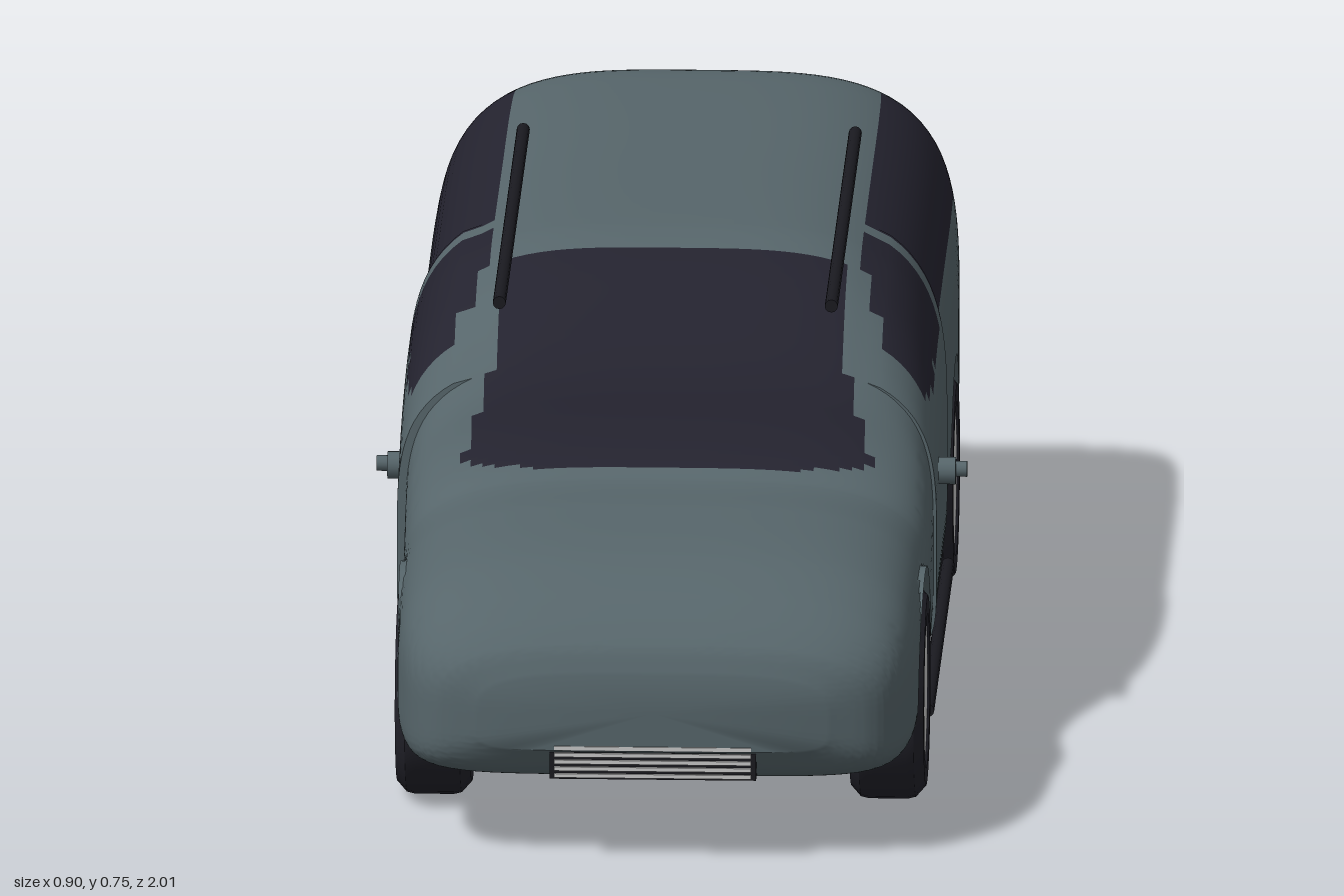
import * as THREE from 'three';
import { toCreasedNormals } from 'three/addons/utils/BufferGeometryUtils.js';

const mat = (name, color) => Object.assign(new THREE.MeshStandardMaterial({ color }), { name });
const paint = mat('bodyPaint', 0x56656a);
const glass = mat('darkGlass', 0x24232f);
const rubber = mat('rubber', 0x22222a);
const trim = mat('blackTrim', 0x1a1a20);
const silver = mat('silver', 0xc8c8c8);
const recess = mat('rimShadow', 0x55555a);

// Smooth interpolation through [z, value] pairs
function curve(pts) {
  const n = pts.length;
  const slope = (i) => {
    const a = pts[Math.max(i - 1, 0)], b = pts[Math.min(i + 1, n - 1)];
    return (b[1] - a[1]) / (b[0] - a[0]);
  };
  return (z) => {
    let i = 0;
    while (i < n - 2 && z > pts[i + 1][0]) i++;
    const [z0, v0] = pts[i], [z1, v1] = pts[i + 1];
    const h = z1 - z0, t = THREE.MathUtils.clamp((z - z0) / h, 0, 1), u = 1 - t;
    return v0 * (1 + 2 * t) * u * u + v1 * (1 + 2 * u) * t * t + h * t * u * (slope(i) * u - slope(i + 1) * t);
  };
}

// Roof line, underside and half width along the car
const top = curve([[-1, 0.32], [-0.99, 0.48], [-0.968, 0.614], [-0.93, 0.70], [-0.88, 0.726], [-0.77, 0.737], [-0.4, 0.739],
  [0, 0.737], [0.09, 0.725], [0.195, 0.695], [0.29, 0.635], [0.345, 0.58], [0.38, 0.523], [0.42, 0.476], [0.46, 0.455],
  [0.6, 0.453], [0.785, 0.437], [0.89, 0.405], [0.94, 0.375], [0.97, 0.35], [0.985, 0.333], [1, 0.3]]);
const under = curve([[-1, 0.2], [-0.99, 0.155], [-0.95, 0.125], [-0.85, 0.118], [0.85, 0.118], [0.93, 0.124], [0.97, 0.14], [1, 0.18]]);
const halfWidth = curve([[-1, 0.33], [-0.99, 0.353], [-0.96, 0.375], [-0.9, 0.391], [-0.8, 0.4], [-0.4, 0.402], [0.4, 0.402],
  [0.8, 0.396], [0.9, 0.382], [0.95, 0.36], [0.98, 0.325], [1, 0.265]]);

const AXLES = [0.59, -0.595], HUB_Y = 0.165, ARCH_R = 0.19;
const DOOR = [-0.11, 0.32];

// Rounded section, raised over the wheels and pushed out at the doors
function bodyPoint(z, angle) {
  const c = Math.cos(angle), s = Math.sin(angle);
  const n = s > 0 ? 3.6 : 6;
  const r = Math.pow(Math.abs(c) ** n + Math.abs(s) ** n, -1 / n);
  const hi = top(z), lo = under(z), mid = lo + 0.4 * (hi - lo);
  let x = halfWidth(z) * r * c;
  let y = mid + (s > 0 ? hi - mid : mid - lo) * r * s;
  for (const a of AXLES) {
    const d = Math.abs(z - a);
    if (d < ARCH_R) y = Math.max(y, HUB_Y + Math.sqrt(ARCH_R * ARCH_R - d * d));
  }
  if (z >= DOOR[0] && z <= DOOR[1] && y > 0.14 && Math.abs(x) > 0.31) x += x < 0 ? -0.013 : 0.005;
  return [x, y, z];
}

function isGlass(x, y, z) {
  const ax = Math.abs(x);
  const windscreen = z > 0.1 && z < 0.43 && y > 0.465 && ax < 0.272 + Math.max(0, 0.59 - y) * 0.34;
  const frontSide = z > -0.06 && z < 0.26 && y > (z > 0.14 ? 0.53 : 0.55) && y < 0.61 + (0.26 - z) * 0.65 && ax > (z > 0.1 ? 0.305 : 0.275);
  const rearSide = z > -0.91 && z < -0.1 && y > 0.55 && ax > 0.275 && (z > -0.87 || y < 0.64);
  const rear = z < -0.895 && ax < 0.262 && y > 0.55;
  return windscreen || frontSide || rearSide || rear;
}

function bodyGeometry() {
  const SEG = 144, zs = [];
  for (let i = 0; i <= 180; i++) zs.push(-0.9 + i * 0.01);
  for (let i = 0; i < 40; i++) zs.push(-1 + i * 0.0025, 1 - i * 0.0025);
  for (const a of AXLES) for (let k = 0; k <= 24; k++) zs.push(a + (ARCH_R - 0.0001) * Math.cos(Math.PI * k / 24));
  for (const a of AXLES) zs.push(a - ARCH_R, a + ARCH_R);
  zs.push(DOOR[0] - 0.0002, DOOR[0] + 0.0001, DOOR[1] - 0.0001, DOOR[1] + 0.0002);
  zs.sort((a, b) => a - b);
  const st = zs.filter((z, i) => i === 0 || z - zs[i - 1] > 0.00005);

  const pos = [], painted = [], glazed = [];
  for (const z of st) for (let j = 0; j < SEG; j++) pos.push(...bodyPoint(z, j / SEG * Math.PI * 2));
  const P = (i, k) => pos[i * 3 + k];
  for (let i = 0; i < st.length - 1; i++) {
    for (let j = 0; j < SEG; j++) {
      const a = i * SEG + j, b = i * SEG + (j + 1) % SEG, c = b + SEG, d = a + SEG;
      const m = [0, 1, 2].map((k) => (P(a, k) + P(b, k) + P(c, k) + P(d, k)) / 4);
      (isGlass(...m) ? glazed : painted).push(a, b, c, a, c, d);
    }
  }
  // Flat end caps
  const last = (st.length - 1) * SEG, centre = st.length * SEG;
  pos.push(0, 0.26, -1, 0, 0.24, 1);
  for (let j = 0; j < SEG; j++) {
    const k = (j + 1) % SEG;
    painted.push(centre, k, j, centre + 1, last + j, last + k);
  }
  const g = new THREE.BufferGeometry();
  g.setAttribute('position', new THREE.Float32BufferAttribute(pos, 3));
  g.setIndex([...painted, ...glazed]);
  g.addGroup(0, painted.length, 0);
  g.addGroup(painted.length, glazed.length, 1);
  return toCreasedNormals(g, 0.6);
}

function add(parent, name, geometry, material, x = 0, y = 0, z = 0) {
  const m = new THREE.Mesh(geometry, material);
  m.name = name;
  m.position.set(x, y, z);
  parent.add(m);
  return m;
}

// Wheel built along its own y axis, spoked face towards +y
function makeWheel() {
  const w = new THREE.Group();
  w.name = 'wheel';
  const profile = [[0.11, -0.05], [0.118, -0.057], [0.145, -0.057], [0.162, -0.042], [0.165, -0.03],
    [0.165, 0.03], [0.162, 0.042], [0.145, 0.057], [0.118, 0.057], [0.11, 0.05]].map((p) => new THREE.Vector2(...p));
  add(w, 'tyre', toCreasedNormals(new THREE.LatheGeometry(profile, 40), 0.5), rubber);
  add(w, 'rimBack', new THREE.CylinderGeometry(0.114, 0.114, 0.06, 40), silver, 0, -0.023, 0);
  add(w, 'rimRecess', new THREE.CylinderGeometry(0.113, 0.113, 0.035, 40), recess, 0, 0.022, 0);
  for (let i = 0; i < 12; i++) {
    add(w, 'spoke', new THREE.CylinderGeometry(0.112, 0.112, 0.03, 4, 1, false, i * Math.PI / 6, 0.45), silver, 0, 0.034, 0);
  }
  const rim = add(w, 'rimEdge', new THREE.TorusGeometry(0.112, 0.005, 8, 40), silver, 0, 0.05, 0);
  rim.rotation.x = Math.PI / 2;
  add(w, 'hub', new THREE.CylinderGeometry(0.018, 0.022, 0.012, 20), silver, 0, 0.053, 0);
  w.rotation.z = Math.PI / 2;
  return w;
}

export function createModel() {
  const car = new THREE.Group();
  car.name = 'van';
  add(car, 'body', bodyGeometry(), [paint, glass]);

  // Wheels, with floor panels between them
  for (const z of AXLES) {
    add(car, 'floorPanel', new THREE.BoxGeometry(0.56, 0.004, 0.385), paint, 0, 0.12, z);
    for (const side of [-1, 1]) {
      const w = makeWheel();
      w.position.set(side * 0.346, HUB_Y, z);
      car.add(w);
    }
  }

  // Paired side parts
  for (const side of [-1, 1]) {
    const rail = add(car, 'roofRail', new THREE.CylinderGeometry(0.01, 0.01, 0.97, 12), trim, side * 0.253, 0.742, 0);
    const step = add(car, 'sideStep', new THREE.CylinderGeometry(0.01, 0.01, 0.82, 12), trim, side * 0.397, 0.082, 0);
    rail.rotation.x = step.rotation.x = Math.PI / 2;
    const base = add(car, 'handleBase', new THREE.CylinderGeometry(0.021, 0.021, 0.04, 16), paint, side * 0.413, 0.41, 0.225);
    const knob = add(car, 'handleKnob', new THREE.CylinderGeometry(0.012, 0.012, 0.04, 16), paint, side * 0.43, 0.41, 0.215);
    base.rotation.z = knob.rotation.z = Math.PI / 2;
    const lamp = add(car, 'tailLamp', new THREE.CylinderGeometry(0.014, 0.014, 0.04, 16), silver, side * 0.348, 0.335, -0.977);
    lamp.rotation.x = Math.PI / 2;
  }

  // Front grille with slats
  add(car, 'grille', new THREE.BoxGeometry(0.315, 0.054, 0.06), trim, 0, 0.162, 0.968);
  for (let i = 0; i < 5; i++) add(car, 'grilleSlat', new THREE.BoxGeometry(0.3, 0.006, 0.008), silver, 0, 0.141 + i * 0.0108, 0.998);

  // Rear plate and step
  add(car, 'rearPlate', new THREE.BoxGeometry(0.2, 0.055, 0.008), silver, 0, 0.23, -0.999);
  add(car, 'rearStep', new THREE.BoxGeometry(0.74, 0.027, 0.16), trim, 0, 0.092, -0.903);
  return car;
}
